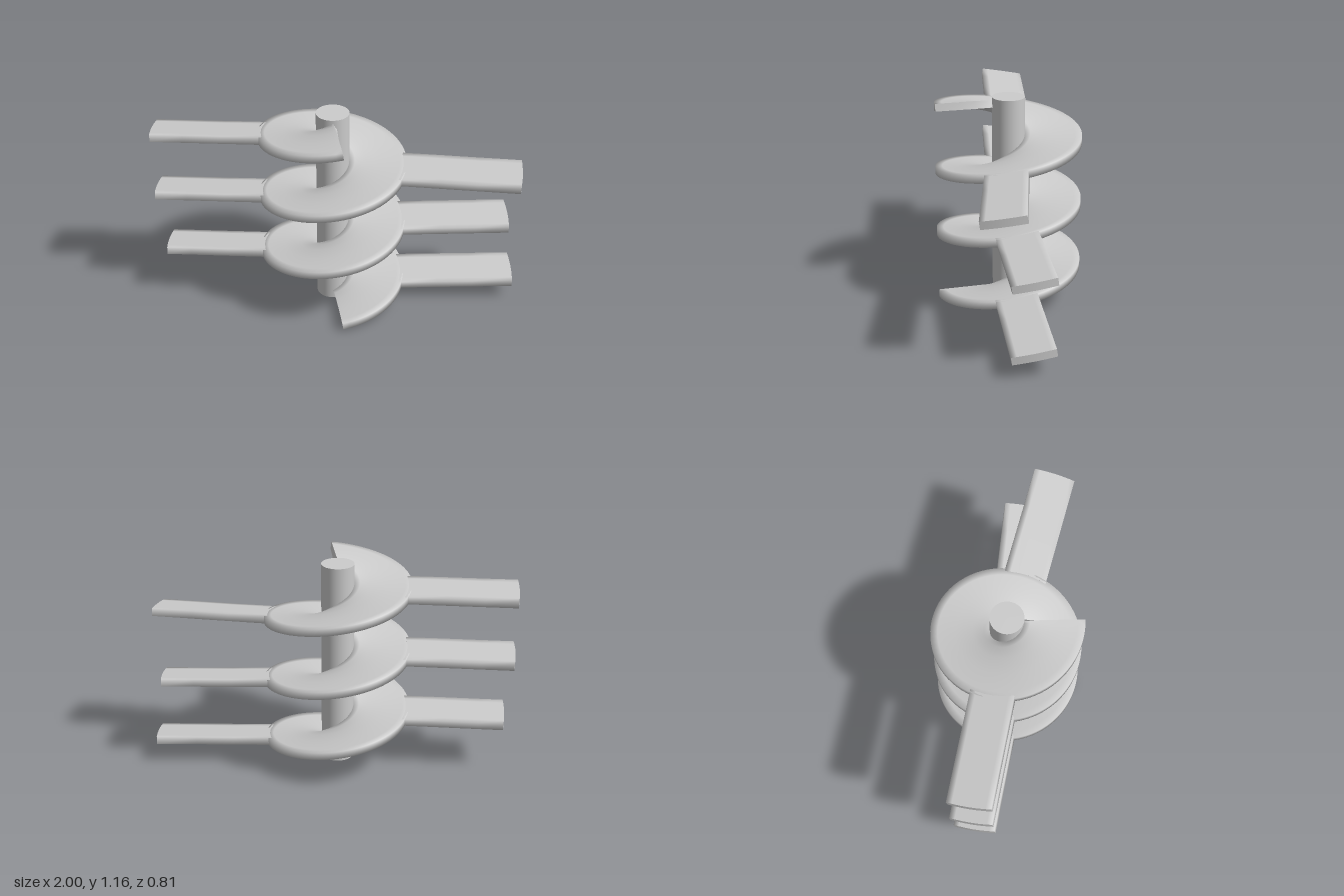
import * as THREE from 'three';

const AXIS_X = -0.025;
const SHAFT_R = 0.09, SHAFT_H = 1.16;
const FLIGHT_R = 0.403, TURNS = 3, PITCH = 0.364, BASE_Y = 0.033;
const HALF_T = 0.021;                 // half the plate thickness
const K = PITCH / (2 * Math.PI);      // rise per radian

const material = new THREE.MeshStandardMaterial({ color: 0xcccccc });
const rad = THREE.MathUtils.degToRad;

// Skins closed rings of [x, y, z] points and caps both ends.
function loft(rings) {
  const pos = rings.flat(2), idx = [], n = rings[0].length;
  for (let i = 0; i < rings.length - 1; i++) {
    for (let j = 0; j < n; j++) {
      const a = i * n + j, b = i * n + (j + 1) % n;
      idx.push(a, b, a + n, b, b + n, a + n);
    }
  }
  // Cap vertices are separate so the end edges stay sharp; top point j pairs with bottom point n-1-j.
  [rings[0], rings[rings.length - 1]].forEach((ring, end) => {
    const s = pos.length / 3;
    pos.push(...ring.flat());
    for (let j = 0; j < n / 2 - 1; j++) {
      const a = s + j, b = a + 1, c = s + n - 2 - j, d = c + 1;
      if (end) idx.push(a, b, c, a, c, d);
      else idx.push(a, c, b, a, d, c);
    }
  });
  const geo = new THREE.BufferGeometry();
  geo.setAttribute('position', new THREE.Float32BufferAttribute(pos, 3));
  geo.setIndex(idx);
  geo.computeVertexNormals();
  return geo;
}

// Point at radius r, sideways offset s along the tangent, at helix angle t.
const place = (t, r, s, y) => [
  Math.sin(t) * r + Math.cos(t) * s, y, Math.cos(t) * r - Math.sin(t) * s,
];

// Pairs a row of positions into a closed section: top there, bottom back.
const section = (row) => [
  ...row.map((v) => [v, HALF_T]), ...[...row].reverse().map((v) => [v, -HALF_T]),
];

// Helical plate, its thickness measured square to its slope.
function flightGeometry() {
  const profile = section([0.08, 0.12, 0.18, 0.27, 0.365, FLIGHT_R]);
  const steps = 72 * TURNS, rings = [];
  for (let i = 0; i <= steps; i++) {
    const t = (i / steps) * TURNS * 2 * Math.PI;
    rings.push(profile.map(([r, h]) => {
      const slope = Math.atan(K / r);
      const p = place(t - h * Math.sin(slope) / r, r, 0, BASE_Y + K * t + h * Math.cos(slope));
      return p;
    }));
  }
  return loft(rings);
}

// Radial paddle, tilted with the flight, both ends cut as arcs about the axis.
function armGeometry(t, reach) {
  const profile = section([0.115, 0.085, 0.04, 0, -0.04, -0.085, -0.115]);
  const y = BASE_Y + K * t;
  return loft([0.385, 0.6, 0.8, reach].map((R) => profile.map(([s, h]) =>
    place(t, Math.sqrt(R * R - s * s), s - h * 0.15, y + s * 0.15 + h))));
}

export function createModel() {
  const model = new THREE.Group();
  model.name = 'screwMixer';
  const add = (geo, name) => {
    const mesh = new THREE.Mesh(geo, material);
    mesh.name = name;
    mesh.position.x = AXIS_X;
    model.add(mesh);
    return mesh;
  };

  // Central shaft
  add(new THREE.CylinderGeometry(SHAFT_R, SHAFT_R, SHAFT_H, 64), 'shaft').position.y = SHAFT_H / 2;

  // Screw flight
  add(flightGeometry(), 'flight');

  // Paddles: angle within the turn (degrees from the front) and reach
  const left = [[83.5, 1.025], [84, 0.98], [75, 1.025]];
  const right = [[259, 0.935], [259, 0.975], [259, 0.975]];
  for (const [name, arms] of [['leftPaddle', left], ['rightPaddle', right]]) {
    arms.forEach(([angle, reach], turn) => {
      add(armGeometry(rad(angle + 360 * turn), reach), name + (turn + 1));
    });
  }
  return model;
}
